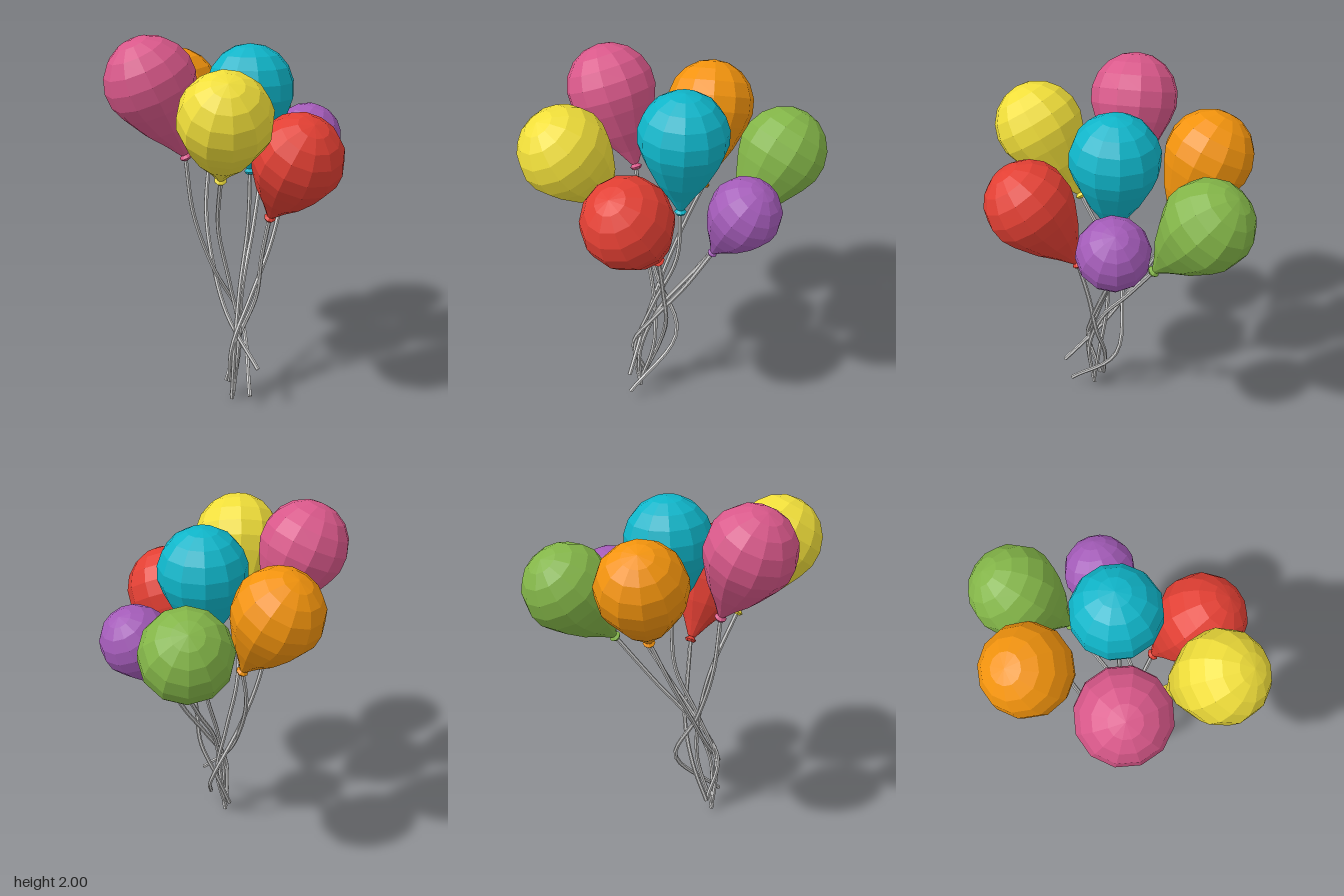
import * as THREE from 'three';

const SIDES = 12;
const UP = new THREE.Vector3(0, 1, 0);

// teardrop profile for a balloon of radius 1, from the neck up to the crown
function bodyProfile() {
  const pts = [[0.09, -1.8], [0.3, -1.45], [0.6, -1.02]].map(p => new THREE.Vector2(...p));
  for (let deg = 120; deg >= 0; deg -= 20) {
    const a = THREE.MathUtils.degToRad(deg);
    pts.push(new THREE.Vector2(Math.sin(a), Math.cos(a)));
  }
  return pts;
}

// small flared lip below the neck
function knotProfile() {
  return [[0, -1.91], [0.1, -1.93], [0.14, -1.87], [0.06, -1.8], [0.08, -1.76]]
    .map(p => new THREE.Vector2(...p));
}

// string falling in even steps from the knot to its end, swaying by the given [x, z] points
function makeString(knot, sway, end) {
  const points = [knot];
  sway.forEach(([x, z], i) => {
    const y = THREE.MathUtils.lerp(knot.y, end[1], (i + 1) / (sway.length + 1));
    points.push(new THREE.Vector3(x, y, z));
  });
  points.push(new THREE.Vector3(...end));
  return new THREE.Mesh(
    new THREE.TubeGeometry(new THREE.CatmullRomCurve3(points), 24, 0.012, 6),
    new THREE.MeshStandardMaterial({ color: 0xcccccc, flatShading: true, side: THREE.DoubleSide }));
}

// center is the middle of the round top; the body tilts along the line from knot to center
function makeBalloon(name, color, center, knot, sway, end, radius = 0.237) {
  const group = new THREE.Group();
  group.name = name + 'Balloon';
  const c = new THREE.Vector3(...center);
  const k = new THREE.Vector3(...knot);
  const rubber = new THREE.MeshStandardMaterial({ color, flatShading: true, side: THREE.DoubleSide });

  const inflated = new THREE.Group();
  inflated.name = name + 'Inflated';
  const body = new THREE.Mesh(new THREE.LatheGeometry(bodyProfile(), SIDES), rubber);
  body.name = name + 'Body';
  const lip = new THREE.Mesh(new THREE.LatheGeometry(knotProfile(), 8), rubber);
  lip.name = name + 'Knot';
  inflated.add(body, lip);
  inflated.scale.setScalar(radius);
  inflated.quaternion.setFromUnitVectors(UP, c.clone().sub(k).normalize());
  inflated.position.copy(c);

  const string = makeString(k, sway, end);
  string.name = name + 'String';
  group.add(inflated, string);
  return group;
}

export function createModel() {
  const model = new THREE.Group();
  model.name = 'balloonBunch';
  model.add(
    makeBalloon('pink', 0xd9588a, [-0.33, 1.765, 0.345], [-0.2, 1.365, 0.22],
      [[-0.17, 0.19], [-0.085, 0.115], [0.035, 0]], [0.18, 0.06, 0.27]));
  model.add(
    makeBalloon('orange', 0xf2930d, [-0.418, 1.625, -0.187], [-0.215, 1.235, -0.15],
      [[-0.19, -0.04], [-0.11, 0.07], [0.01, 0.17]], [0.225, 0.23, 0.27]));
  model.add(
    makeBalloon('teal', 0x0fb5c9, [0.068, 1.69, -0.035], [0.075, 1.255, -0.02],
      [[0.07, 0], [0.07, 0.13], [0.08, 0.24]], [0.055, 0, 0.215]));
  model.add(
    makeBalloon('yellow', 0xf0de3a, [0.15, 1.653, 0.555], [0.04, 1.29, 0.335],
      [[-0.03, 0.19], [0.01, 0.13], [0.07, 0.13]], [0.055, 0.02, 0.22]));
  model.add(
    makeBalloon('red', 0xe23f33, [0.418, 1.408, 0.242], [0.225, 1.035, 0.095],
      [[0.175, 0.075], [0.14, 0.06], [0.055, 0.1]], [0.01, 0.085, 0.18]));
  model.add(
    makeBalloon('green', 0x83b548, [-0.11, 1.505, -0.558], [0.035, 1.16, -0.33],
      [[0.055, -0.12], [0.07, 0.1], [0.09, 0.21]], [0.06, 0.02, 0.215]));
  model.add(
    makeBalloon('purple', 0xa35bb8, [0.297, 1.382, -0.34], [0.21, 1.075, -0.185],
      [[0.185, -0.04], [0.13, 0.12], [0.07, 0.25]], [0.03, 0.09, 0.185], 0.189));
  return model;
}
